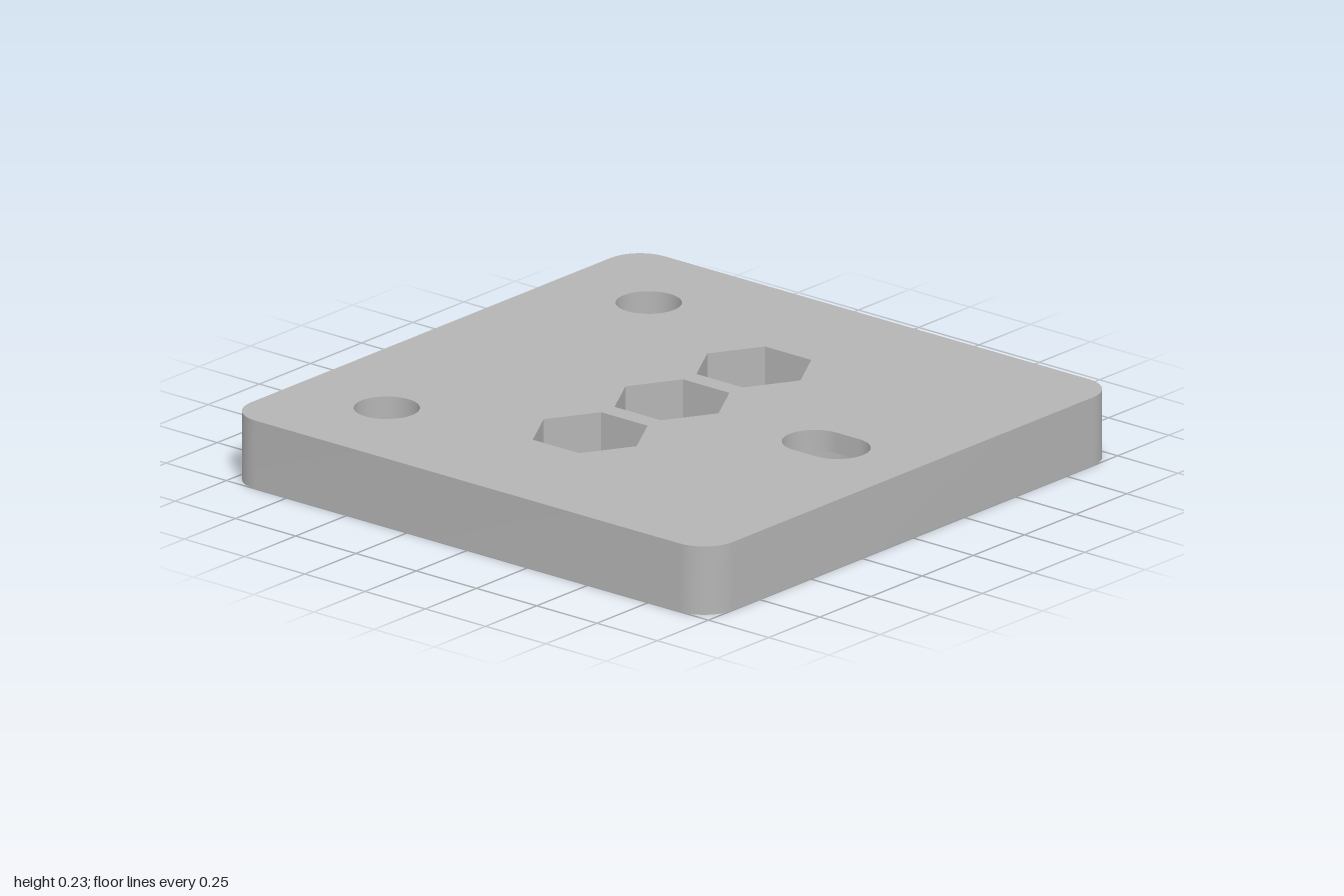
import * as THREE from 'three';
import { toCreasedNormals } from 'three/addons/utils/BufferGeometryUtils.js';

const HEIGHT = 0.23, BORE = 0.105, COUNTERBORE = 0.21, HEX = 0.193;
const NUT_FLOOR = 0.055, COUNTERBORE_TOP = 0.16;

// Counter-clockwise rounded rectangle; also gives circles and slots
function rounded(cx, cy, halfW, halfH, r, steps = 12) {
  const points = [];
  [[1, 1], [-1, 1], [-1, -1], [1, -1]].forEach(([sx, sy], quarter) => {
    for (let i = 0; i <= steps; i++) {
      const a = (quarter + i / steps) * Math.PI / 2;
      const p = new THREE.Vector2(
        cx + sx * (halfW - r) + r * Math.cos(a),
        cy + sy * (halfH - r) + r * Math.sin(a));
      if (!points.some((q) => q.distanceTo(p) < 1e-5)) points.push(p);
    }
  });
  return points;
}

function hexagon(cx, cy, r) {
  return Array.from({ length: 6 }, (_, i) => new THREE.Vector2(
    cx + r * Math.cos(i * Math.PI / 3), cy + r * Math.sin(i * Math.PI / 3)));
}

// Upright wall around an outline, facing outward, or inward for a hole
function wallGeometry(outline, y0, y1, inward) {
  const loop = inward ? [...outline].reverse() : outline;
  const positions = [];
  loop.forEach((p, i) => {
    const q = loop[(i + 1) % loop.length];
    positions.push(p.x, y0, -p.y, q.x, y0, -q.y, q.x, y1, -q.y);
    positions.push(p.x, y0, -p.y, q.x, y1, -q.y, p.x, y1, -p.y);
  });
  const geometry = new THREE.BufferGeometry();
  geometry.setAttribute('position', new THREE.Float32BufferAttribute(positions, 3));
  return toCreasedNormals(geometry, 0.6);
}

// Flat horizontal face with holes, facing up or down
function faceGeometry(outline, holes, y, up) {
  const shape = new THREE.Shape(outline);
  shape.holes = holes.map((h) => new THREE.Path(h));
  const geometry = new THREE.ShapeGeometry(shape);
  if (!up) {
    const index = geometry.index.array;
    for (let i = 0; i < index.length; i += 3) {
      [index[i], index[i + 1]] = [index[i + 1], index[i]];
    }
  }
  geometry.rotateX(-Math.PI / 2).translate(0, y, 0);
  geometry.computeVertexNormals();
  return geometry;
}

export function createModel() {
  const group = new THREE.Group();
  group.name = 'mountingPlate';
  const grey = new THREE.MeshStandardMaterial({ color: 0xb4b4b4 });
  grey.name = 'plateGrey';

  function add(name, geometry, parent = group) {
    const mesh = new THREE.Mesh(geometry, grey);
    mesh.name = name;
    parent.add(mesh);
  }

  const plate = rounded(0, 0, 1, 1, 0.12);
  const topHoles = [], bottomHoles = [];

  // A stepped hole: lower outline up to the step, upper outline above it
  function steppedHole(name, lower, upper, step, floorFacesUp) {
    const hole = new THREE.Group();
    hole.name = name;
    group.add(hole);
    add('lowerWall', wallGeometry(lower, 0, step, true), hole);
    add('upperWall', wallGeometry(upper, step, HEIGHT, true), hole);
    const [wide, narrow] = floorFacesUp ? [upper, lower] : [lower, upper];
    add('ledge', faceGeometry(wide, [narrow], step, floorFacesUp), hole);
    topHoles.push(upper);
    bottomHoles.push(lower);
  }

  // Row of hexagonal nut pockets, open at the top
  for (const z of [-0.4, 0, 0.4]) {
    steppedHole('nutPocket', rounded(0, z, BORE, BORE, BORE), hexagon(0, z, HEX), NUT_FLOOR, true);
  }

  // Two round screw holes and one slot, counterbored from below
  for (const [x, z, stretch] of [[-0.64, -0.64, 0], [-0.64, 0.64, 0], [0.64, 0, 0.047]]) {
    const opening = (r) => rounded(x, z, r + stretch, r, r);
    steppedHole(stretch ? 'screwSlot' : 'screwHole',
      opening(COUNTERBORE), opening(BORE), COUNTERBORE_TOP, false);
  }

  // Plate skin
  add('plateEdge', wallGeometry(plate, 0, HEIGHT, false));
  add('plateTop', faceGeometry(plate, topHoles, HEIGHT, true));
  add('plateBottom', faceGeometry(plate, bottomHoles, 0, false));
  return group;
}
